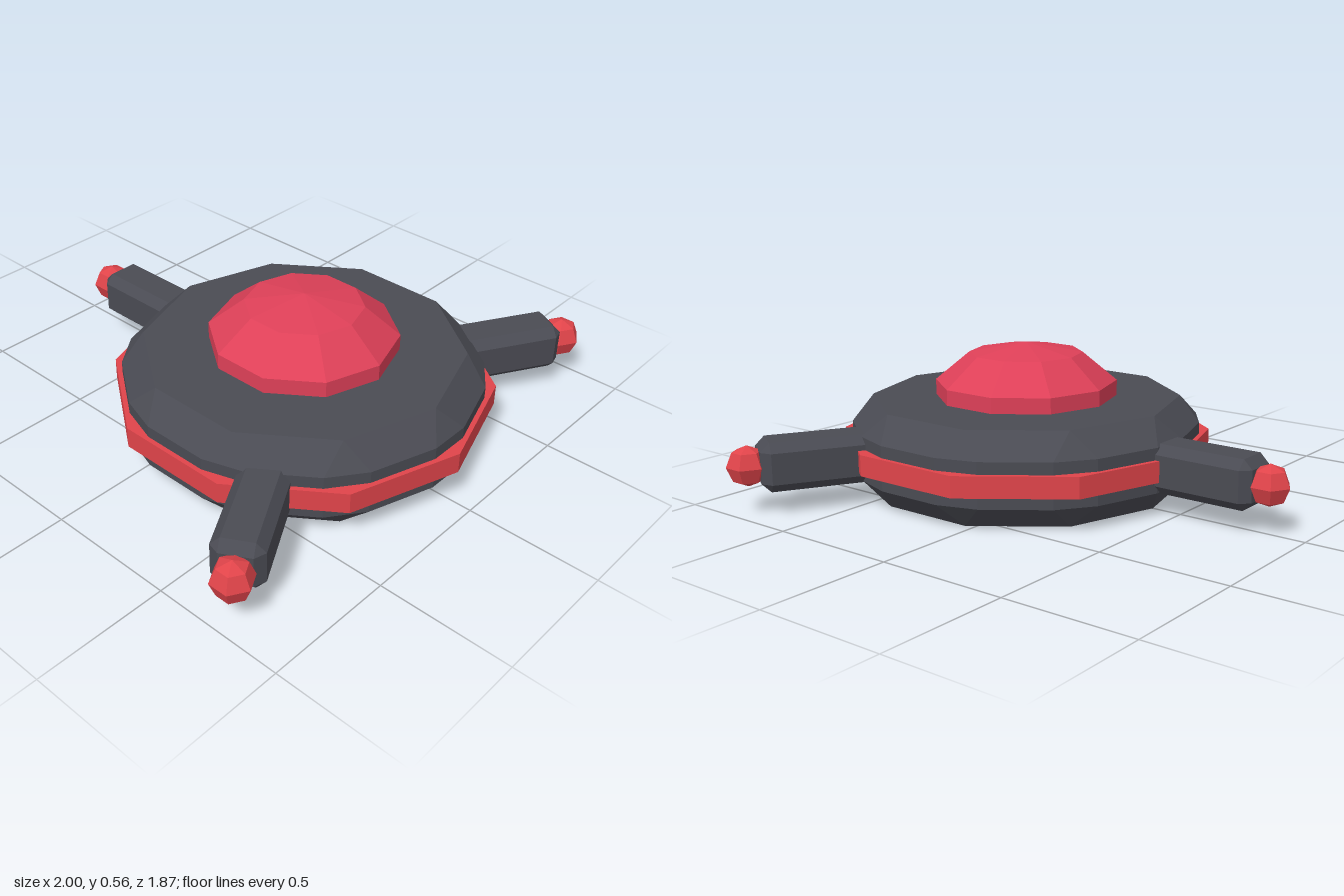
import * as THREE from 'three';
import { ConvexGeometry } from 'three/addons/geometries/ConvexGeometry.js';

const SIDES = 10;
const CENTRE_Z = 0.22;
const ARM_Y = 0.177;

function material(name, color) {
  const m = new THREE.MeshStandardMaterial({ color, flatShading: true });
  m.name = name;
  return m;
}

function addMesh(parent, name, geometry, mat) {
  const mesh = new THREE.Mesh(geometry, mat);
  mesh.name = name;
  parent.add(mesh);
  return mesh;
}

// Ten-sided disc with chamfered rims and clipped upright corners
function bodyGeometry() {
  const points = [];
  const put = (angle, r, y) =>
    points.push(new THREE.Vector3(Math.sin(angle) * r, y, Math.cos(angle) * r));
  for (let i = 0; i < SIDES; i++) {
    const a = (i / SIDES) * Math.PI * 2;
    for (const y of [0, 0.35]) put(a, 0.6, y);
    for (const y of [0.09, 0.26]) {
      put(a - 0.119, 0.675, y);
      put(a + 0.119, 0.675, y);
    }
  }
  return new ConvexGeometry(points);
}

// Box with every edge and corner chamfered by b
function chamferBox(w, h, d, b) {
  const points = [];
  for (const x of [-1, 1]) for (const y of [-1, 1]) for (const z of [-1, 1]) {
    for (let full = 0; full < 3; full++) {
      const size = [w, h, d].map((s, k) => s / 2 - (k === full ? 0 : b));
      points.push(new THREE.Vector3(x * size[0], y * size[1], z * size[2]));
    }
  }
  return new ConvexGeometry(points);
}

export function createModel() {
  const model = new THREE.Group();
  model.name = 'tripodDisc';
  const grey = material('darkGrey', 0x4a4b53);
  const red = material('accentRed', 0xe0444a);
  const rose = material('domeRed', 0xde4058);

  const disc = new THREE.Group();
  disc.name = 'disc';
  disc.position.z = CENTRE_Z;
  model.add(disc);

  addMesh(disc, 'body', bodyGeometry(), grey);

  // Band around the rim
  const band = addMesh(disc, 'rimBand', new THREE.CylinderGeometry(0.715, 0.715, 0.08, SIDES), red);
  band.position.y = 0.175;

  // Faceted dome on a short upright wall
  const profile = [[0.353, 0.34], [0.353, 0.41], [0.22, 0.52], [0, 0.56]]
    .map(([r, y]) => new THREE.Vector2(r, y));
  addMesh(disc, 'dome', new THREE.LatheGeometry(profile, SIDES), rose);

  // Three arms, each tipped with a small faceted ball
  const armGeometry = chamferBox(0.183, 0.185, 0.5, 0.034);
  const ballGeometry = new THREE.SphereGeometry(0.077, 6, 4);
  ballGeometry.rotateY(Math.PI / 2);
  for (let i = 0; i < 3; i++) {
    const arm = new THREE.Group();
    arm.name = ['backArm', 'leftArm', 'rightArm'][i];
    arm.position.y = ARM_Y;
    arm.rotation.y = [0, -1, 1][i] * (Math.PI * 2 / 3);
    addMesh(arm, 'armBeam', armGeometry, grey).position.z = -0.79;
    addMesh(arm, 'armTip', ballGeometry, red).position.z = -1.078;
    disc.add(arm);
  }
  return model;
}
